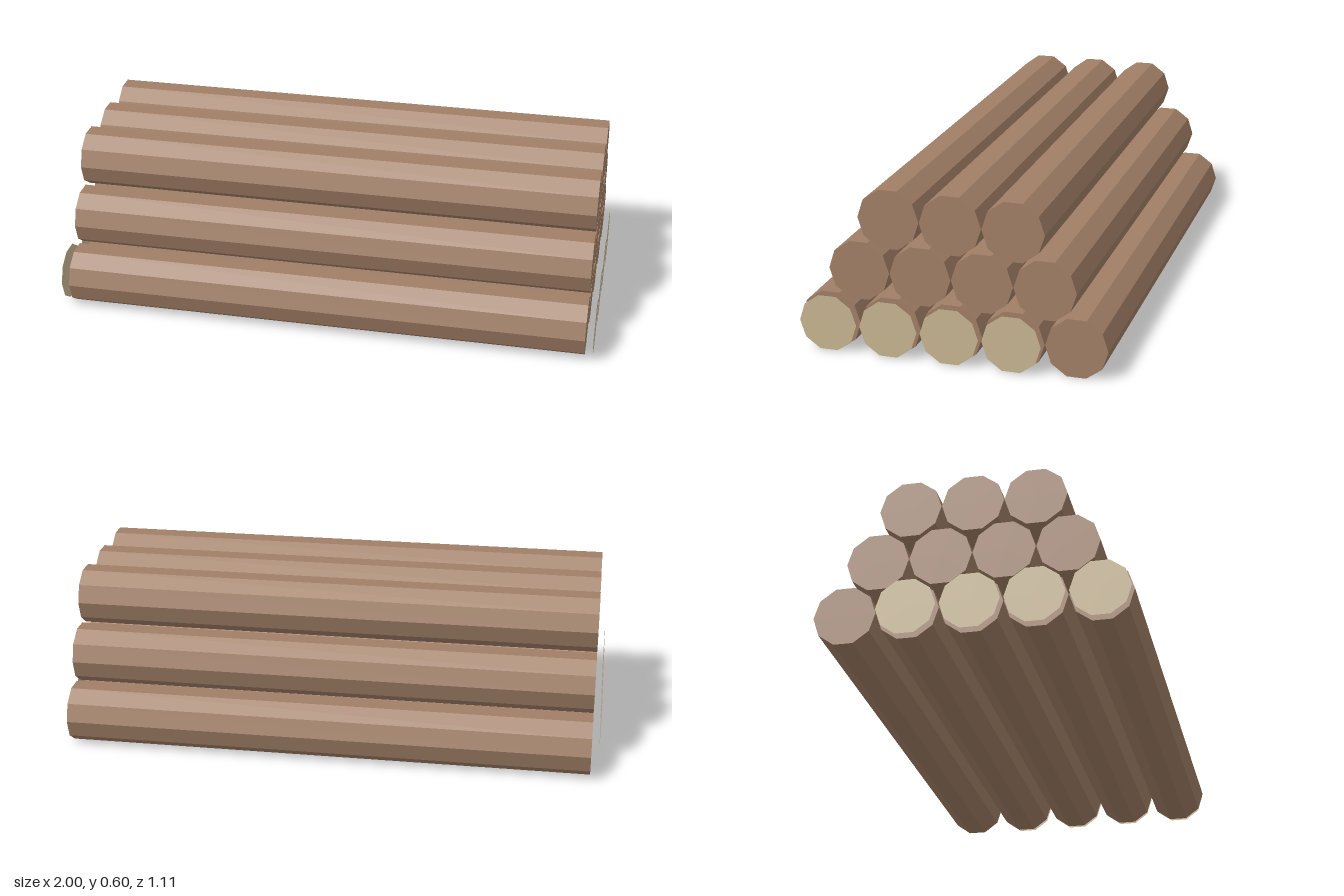
import * as THREE from 'three';

const R = 0.11, PITCH = 0.2215, ROW_HEIGHT = 0.1955, HALF = 0.97, SIDES = 10;

export function createModel() {
  const bark = new THREE.MeshStandardMaterial({ color: 0xa07e65, flatShading: true });
  bark.name = 'barkBrown';
  const cut = new THREE.MeshStandardMaterial({ color: 0xc8b591, flatShading: true, side: THREE.DoubleSide });
  cut.name = 'cutWoodCream';

  // ten-sided log lying along x, flat side down
  const logGeo = new THREE.CylinderGeometry(R, R, HALF * 2, SIDES).rotateZ(Math.PI / 2);
  // pale cut face, held just off the end of the log
  const capGeo = new THREE.CircleGeometry(0.105, SIDES).rotateY(Math.PI / 2);

  const pile = new THREE.Group();
  pile.name = 'logPile';
  const bottom = R * Math.cos(Math.PI / SIDES);

  // three stacked rows; every bottom log but the rearmost has cut faces
  [5, 4, 3].forEach((count, row) => {
    for (let i = 0; i < count; i++) {
      const log = new THREE.Group();
      log.name = `logRow${row + 1}Number${i + 1}`;
      log.position.set(0, bottom + row * ROW_HEIGHT, ((count - 1) / 2 - i) * PITCH);
      const trunk = new THREE.Mesh(logGeo, bark);
      trunk.name = 'trunk';
      log.add(trunk);
      if (row === 0 && i < count - 1) {
        for (const side of [1, -1]) {
          const cap = new THREE.Mesh(capGeo, cut);
          cap.name = side > 0 ? 'cutFaceLeft' : 'cutFaceRight';
          cap.position.x = side;
          if (side < 0) cap.rotation.y = Math.PI;
          log.add(cap);
        }
      }
      pile.add(log);
    }
  });
  return pile;
}
